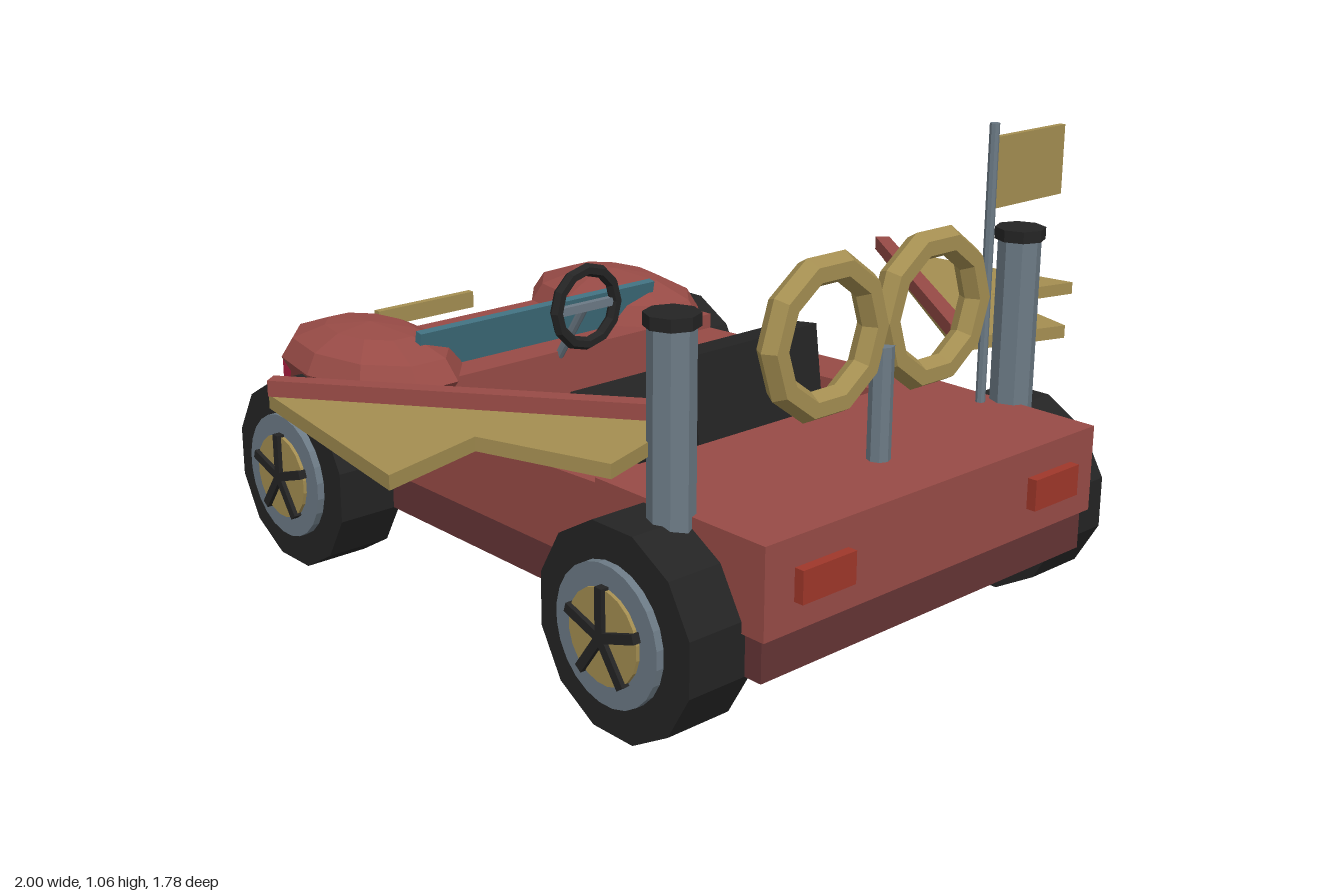
import * as THREE from 'three';

const mat = (name, color) => {
  const m = new THREE.MeshStandardMaterial({ color, flatShading: true });
  m.name = name;
  return m;
};

export function createModel() {
  const car = new THREE.Group();
  car.name = 'car';
  const red = mat('body red', 0x984b46), darkRed = mat('dark red', 0x653435);
  const gold = mat('gold', 0xa48e51), grey = mat('steel grey', 0x6c7a85);
  const black = mat('black', 0x242424), teal = mat('windshield teal', 0x40707f);
  const crimson = mat('headlight crimson', 0xa81c3c), tail = mat('tail light red', 0x9f372a);

  const add = (name, geo, m, x = 0, y = 0, z = 0, parent = car) => {
    const mesh = new THREE.Mesh(geo, m);
    mesh.name = name;
    mesh.position.set(x, y, z);
    parent.add(mesh);
    return mesh;
  };
  // box given by its lower and upper limits
  const box = (name, m, x0, x1, y0, y1, z0, z1, parent) =>
    add(name, new THREE.BoxGeometry(x1 - x0, y1 - y0, z1 - z0), m,
      (x0 + x1) / 2, (y0 + y1) / 2, (z0 + z1) / 2, parent);
  const cyl = (r, h, n) => new THREE.CylinderGeometry(r, r, h, n);
  // outline of [z, y] points extruded across x
  const sideProfile = (pts, x0, x1) => {
    const shape = new THREE.Shape(pts.map(([z, y]) => new THREE.Vector2(-z, y)));
    const g = new THREE.ExtrudeGeometry(shape, { depth: x1 - x0, bevelEnabled: false });
    return g.rotateY(Math.PI / 2).translate(x0, 0, 0);
  };
  // outline of [x, z] points extruded upwards
  const planProfile = (pts, y0, y1) => {
    const shape = new THREE.Shape(pts.map(([x, z]) => new THREE.Vector2(x, -z)));
    const g = new THREE.ExtrudeGeometry(shape, { depth: y1 - y0, bevelEnabled: false });
    return g.rotateX(-Math.PI / 2).translate(0, y0, 0);
  };

  // body
  box('hull', darkRed, -0.485, 0.485, 0.16, 0.28, -0.79, 0.855);
  box('rearDeck', red, -0.495, 0.495, 0.25, 0.44, 0.4, 0.87);
  const hood = sideProfile([[-0.31, 0.27], [-0.31, 0.44], [-0.72, 0.44], [-0.835, 0.39], [-0.87, 0.27]], -0.495, 0.495);
  const hp = hood.attributes.position;
  for (let i = 0; i < hp.count; i++) if (hp.getZ(i) < -0.8) hp.setX(i, hp.getX(i) * 0.86);
  hood.computeVertexNormals();
  add('hood', hood, red);

  // seat
  box('seatCushion', black, -0.187, 0.187, 0.28, 0.44, -0.05, 0.33);
  const back = new THREE.Group();
  back.name = 'seatBack';
  back.position.set(0, 0.47, 0.325);
  back.rotation.x = -0.13;
  car.add(back);
  box('backrest', black, -0.187, 0.187, -0.17, 0.14, -0.04, 0.04, back);
  box('backrestPanel', darkRed, -0.14, 0.14, -0.01, 0.11, -0.048, -0.04, back);

  // windshield
  add('windshield', new THREE.BoxGeometry(0.72, 0.13, 0.02), teal, 0, 0.475, -0.398).rotation.x = 0.2;

  // steering
  add('steeringWheel', new THREE.TorusGeometry(0.09, 0.016, 6, 12), black, 0, 0.57, -0.215);
  box('steeringSpoke', grey, -0.085, 0.085, 0.56, 0.58, -0.225, -0.208);
  const column = add('steeringColumn', cyl(0.011, 0.2, 8), grey, 0, 0.49, -0.275);
  column.rotation.x = Math.atan2(0.11, 0.16);

  // bumper and nose plate
  box('bumper', grey, -0.5, 0.5, 0.2, 0.27, -0.892, -0.828);
  box('nosePlate', gold, -0.15, 0.15, 0.407, 0.45, -0.885, -0.865);

  // twin rings on a post
  add('ringPost', cyl(0.025, 0.25, 8), grey, 0, 0.555, 0.7);

  // flag
  add('flagPole', cyl(0.011, 0.64, 8), grey, 0.445, 0.74, 0.605);
  box('flag', gold, 0.45, 0.685, 0.875, 1.03, 0.598, 0.612);

  for (const s of [-1, 1]) {
    const side = s > 0 ? 'left' : 'right';
    const mirror = (pts) => pts.map(([x, z]) => [x * s, z]);

    const rail = sideProfile([[0.41, 0.25], [0.41, 0.43], [-0.32, 0.403], [-0.32, 0.25]],
      s > 0 ? 0.36 : -0.495, s > 0 ? 0.495 : -0.36);
    add(side + 'Rail', rail, red);

    const fender = new THREE.SphereGeometry(1, 10, 6).scale(0.178, 0.097, 0.285);
    add(side + 'Fender', fender, red, s * 0.38, 0.438, -0.555);

    const lx = s * 0.345;
    box(side + 'TailLight', tail, lx - 0.072, lx + 0.072, 0.31, 0.378, 0.86, 0.892);
    box(side + 'Headlight', crimson, lx - 0.078, lx + 0.078, 0.313, 0.376, -0.89, -0.845);

    const ring = new THREE.TorusGeometry(0.141, 0.032, 6, 10);
    add(side + 'Ring', ring, gold, s * 0.158, 0.725, 0.688);

    // exhaust stack
    add(side + 'Stack', cyl(0.047, 0.4, 8), grey, s * 0.51, 0.61, 0.638);
    add(side + 'StackCap', cyl(0.055, 0.026, 8), black, s * 0.51, 0.818, 0.638);

    // wing: red spar over a jagged gold plate
    add(side + 'WingSpar', planProfile(mirror([[0.9, -0.112], [0.928, -0.09], [0.425, 0.575], [0.395, 0.552]]), 0.582, 0.615), red);
    add(side + 'WingPlate', planProfile(mirror([[0.92, -0.1], [1, 0.438], [0.765, 0.375], [0.672, 0.655], [0.405, 0.565]]), 0.553, 0.582), gold);

    // wheels, axle along x
    for (const [end, z] of [['Rear', 0.6], ['Front', -0.54]]) {
      const wheel = new THREE.Group();
      wheel.name = side + end + 'Wheel';
      wheel.position.set(0, 0.217, z);
      car.add(wheel);
      const disc = (name, m, r, n, a, b) =>
        add(name, cyl(r, b - a, n).rotateY(Math.PI / n).rotateZ(Math.PI / 2), m, s * (a + b) / 2, 0, 0, wheel);
      disc('tyre', black, 0.22, 12, 0.47, 0.625);
      disc('rim', grey, 0.145, 24, 0.6, 0.642);
      disc('hubDisc', gold, 0.098, 20, 0.62, 0.65);
      for (let i = 0; i < 5; i++) {
        const spoke = new THREE.BoxGeometry(0.02, 0.105, 0.02).translate(0, 0.05, 0);
        add('spoke', spoke, black, s * 0.65, 0, 0, wheel).rotation.x = i * Math.PI * 0.4;
      }
    }
  }
  return car;
}
